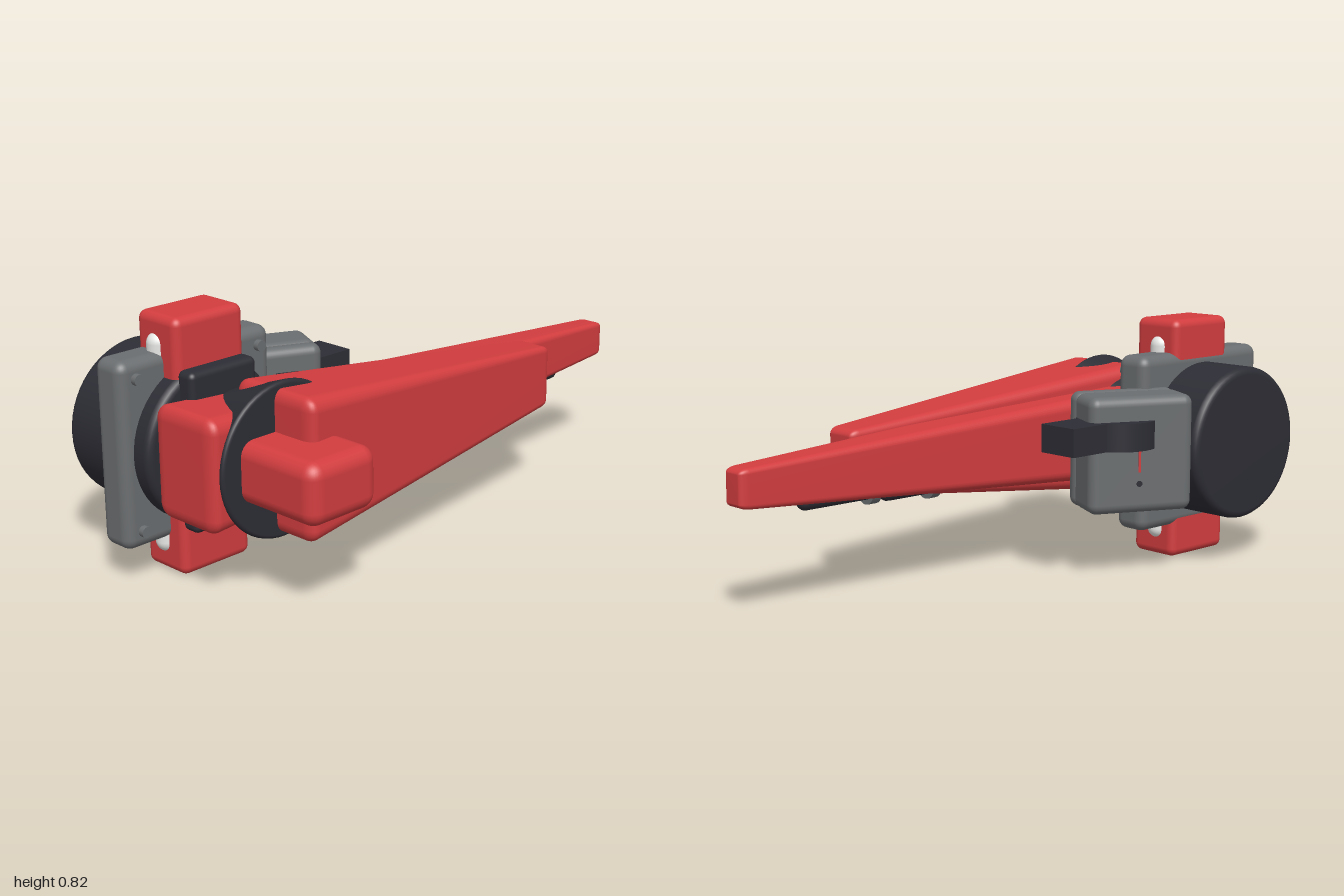
import * as THREE from 'three';
import { RoundedBoxGeometry } from 'three/addons/geometries/RoundedBoxGeometry.js';
import { mergeVertices } from 'three/addons/utils/BufferGeometryUtils.js';

const material = (name, color, extra = {}) => {
  const m = new THREE.MeshStandardMaterial({ color, ...extra });
  m.name = name;
  return m;
};

export function createModel() {
  const red = material('red', 0xd23d3f);
  const black = material('charcoal', 0x2d2d35);
  const grey = material('grey', 0x6b6e70);
  const white = material('white', 0xe8e8e6);

  const model = new THREE.Group();
  model.name = 'model';
  const CX = -0.7, CY = 0.413;

  const add = (name, geo, mat, pos = [0, 0, 0], parent = model) => {
    const mesh = new THREE.Mesh(geo, mat);
    mesh.name = name;
    mesh.position.set(...pos);
    parent.add(mesh);
    return mesh;
  };

  // Rounded box given by its minimum and maximum corners
  const block = (name, mat, a, b, r, parent = model) => {
    const s = a.map((v, i) => b[i] - v);
    const c = a.map((v, i) => (v + b[i]) / 2);
    return add(name, new RoundedBoxGeometry(...s, 4, r), mat, c, parent);
  };

  // Rounded blade tapering along x; each end is { x, h, z0, z1 }
  const blade = (name, a, b) => {
    const L = b.x - a.x, H = (a.h + b.h) / 2, D = (a.z1 - a.z0 + b.z1 - b.z0) / 2;
    let g = new RoundedBoxGeometry(L, H, D, 4, 0.032);
    g.deleteAttribute('normal');
    g.deleteAttribute('uv');
    g = mergeVertices(g, 1e-5);
    const p = g.attributes.position, lerp = THREE.MathUtils.lerp;
    for (let i = 0; i < p.count; i++) {
      const t = p.getX(i) / L + 0.5;
      const z0 = lerp(a.z0, b.z0, t), z1 = lerp(a.z1, b.z1, t);
      p.setXYZ(i, lerp(a.x, b.x, t), CY + p.getY(i) / H * lerp(a.h, b.h, t),
        lerp(z0, z1, p.getZ(i) / D + 0.5));
    }
    g.computeVertexNormals();
    return add(name, g, red);
  };

  // Round body along z with softened rims, from (z, radius) at back and front
  const drum = (name, mat, x, zBack, rBack, zFront, rFront, bevel) => {
    const pts = [[0, zBack]];
    for (let i = 0; i <= 4; i++) {
      const a = i / 4 * Math.PI / 2;
      pts.push([rBack - bevel + bevel * Math.sin(a), zBack + bevel - bevel * Math.cos(a)]);
    }
    for (let i = 0; i <= 4; i++) {
      const a = i / 4 * Math.PI / 2;
      pts.push([rFront - bevel + bevel * Math.cos(a), zFront - bevel + bevel * Math.sin(a)]);
    }
    pts.push([0, zFront]);
    const g = new THREE.LatheGeometry(pts.map(q => new THREE.Vector2(...q)), 56);
    g.rotateX(Math.PI / 2);
    return add(name, g, mat, [x, CY, 0]);
  };

  // Mounting plate, rear housing and upright bar
  block('mountingPlate', grey, [-1, 0.115, -0.28], [-0.405, 0.71, -0.155], 0.035);
  drum('rearHousing', black, CX - 0.003, -0.477, 0.258, -0.088, 0.258, 0.025);
  block('uprightBar', red, [-0.835, 0.002, -0.278], [-0.565, 0.822, -0.095], 0.027);
  block('frontPad', black, [-0.83, 0.157, -0.105], [-0.57, 0.667, -0.036], 0.02);

  // Corner screws and white pins
  for (const sx of [-1, 1]) {
    for (const sy of [-1, 1]) {
      const screw = new THREE.CylinderGeometry(0.018, 0.018, 0.03, 16).rotateX(Math.PI / 2);
      add('plateScrew', screw, grey, [-0.7 + sx * 0.24, CY + sy * 0.24, -0.151]);
    }
    add('pin', new THREE.CapsuleGeometry(0.036, 0.635, 8, 20), white,
      [-0.7 + sx * 0.118, CY, -0.196]);
  }

  // Flared hub, knob and the two tapered blades
  drum('hub', black, -0.662, -0.04, 0.175, 0.18, 0.245, 0.012);
  block('knob', red, [-0.835, 0.315, 0.1], [-0.565, 0.51, 0.475], 0.048);
  blade('longBlade', { x: -0.93, h: 0.36, z0: -0.1, z1: 0.168 }, { x: 1, h: 0.12, z0: 0.013, z1: 0.1 });
  blade('shortBlade', { x: -0.7, h: 0.455, z0: 0, z1: 0.335 }, { x: 0.51, h: 0.21, z0: 0.12, z1: 0.243 });

  // Rods with collars under the blades
  const rod = (x0, x1, y, z, r, ringX) => {
    const L = x1 - x0 - 2 * r;
    add('bladeRod', new THREE.CapsuleGeometry(r, L, 8, 16).rotateZ(Math.PI / 2), black, [(x0 + x1) / 2, y, z]);
    const ring = new THREE.CylinderGeometry(r + 0.012, r + 0.012, 0.035, 24).rotateZ(Math.PI / 2);
    add('rodCollar', ring, grey, [ringX, y - 0.004, z]);
  };
  rod(0.03, 0.36, 0.295, 0.172, 0.033, 0.147);
  rod(0.4, 0.765, 0.337, 0.06, 0.028, 0.487);

  // Angled rear case made of a thin front shell and a deeper back shell
  const rearCase = new THREE.Group();
  rearCase.name = 'rearCase';
  rearCase.position.set(-0.325, CY, -0.297);
  rearCase.rotation.y = -0.44;
  model.add(rearCase);
  block('caseBackShell', grey, [-0.18, -0.192, -0.107], [0.18, 0.192, 0.055], 0.032, rearCase);
  block('caseFrontShell', grey, [-0.18, -0.192, 0.04], [0.18, 0.192, 0.107], 0.03, rearCase);
  const dot = new THREE.CylinderGeometry(0.01, 0.01, 0.006, 16).rotateX(Math.PI / 2);
  add('caseHole', dot, black, [0.01, -0.093, -0.106], rearCase);
  add('caseMark', new THREE.BoxGeometry(0.008, 0.07, 0.006), red, [0.01, -0.02, -0.106], rearCase);

  // Lever with a round pivot
  add('leverPivot', new THREE.CylinderGeometry(0.132, 0.132, 0.092, 40), black, [-0.265, 0.48, -0.29]);
  add('leverArm', new THREE.BoxGeometry(0.26, 0.092, 0.145), black, [-0.13, 0.48, -0.283]);

  return model;
}
